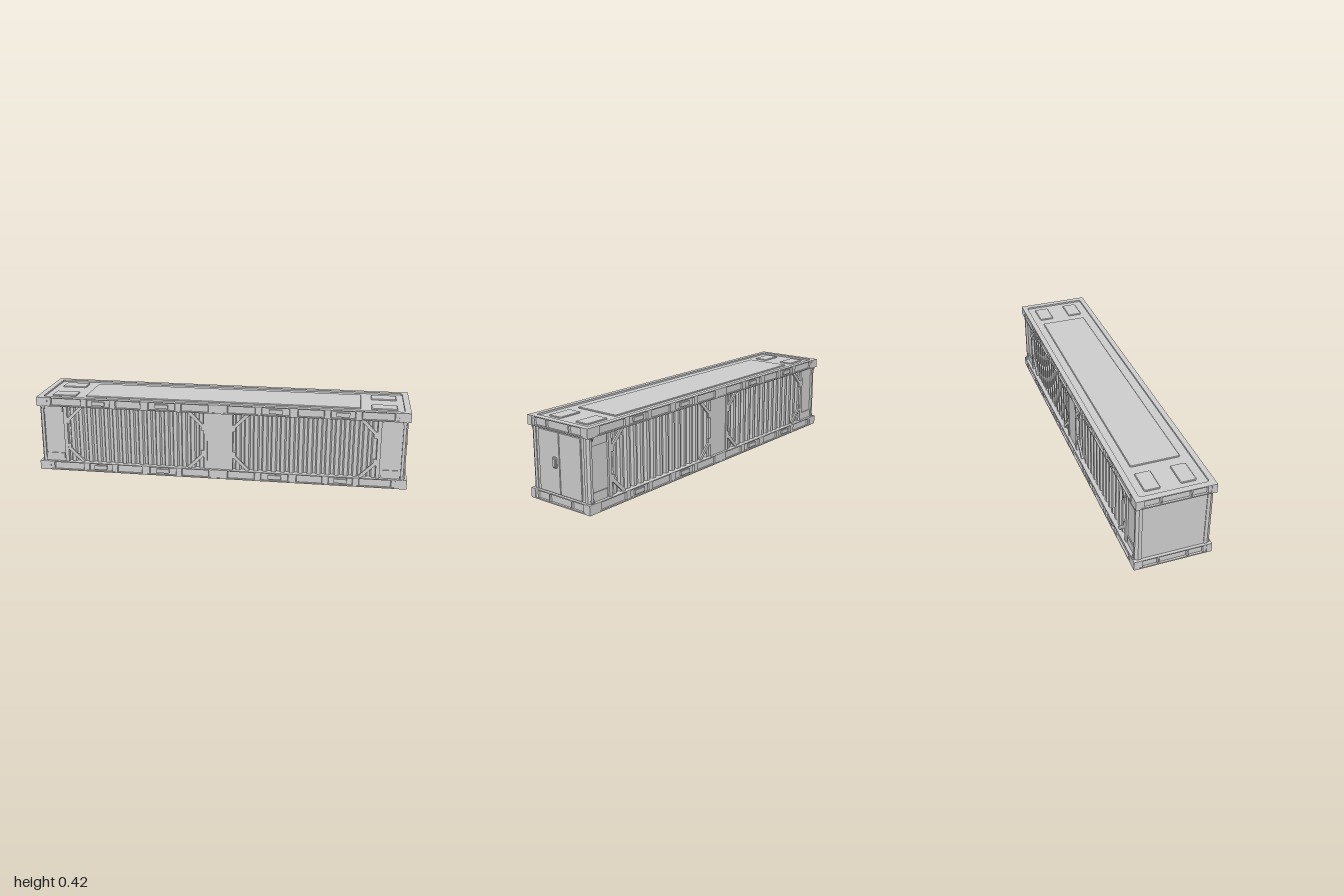
import * as THREE from 'three';

const material = new THREE.MeshStandardMaterial({ color: 0xcccccc, flatShading: true, side: THREE.DoubleSide });

function add(parent, name, geometry, x = 0, y = 0, z = 0) {
  const mesh = new THREE.Mesh(geometry, material);
  mesh.name = name;
  mesh.position.set(x, y, z);
  parent.add(mesh);
  return mesh;
}

// Box given by its limits
function block(parent, name, x0, x1, y0, y1, z0, z1) {
  return add(parent, name, new THREE.BoxGeometry(x1 - x0, y1 - y0, z1 - z0),
    (x0 + x1) / 2, (y0 + y1) / 2, (z0 + z1) / 2);
}

// Rectangle with cut corners, centred on the origin
function cutRect(hx, hy, c) {
  return [[hx - c, -hy], [hx, -hy + c], [hx, hy - c], [hx - c, hy],
    [-hx + c, hy], [-hx, hy - c], [-hx, -hy + c], [-hx + c, -hy]].map(p => new THREE.Vector2(...p));
}

// Thin plate with a bevelled face, lying in XY and facing +z
function plate(w, h, d, bevel = 0.003) {
  return new THREE.ExtrudeGeometry(new THREE.Shape(cutRect(w / 2 - bevel, h / 2 - bevel, 0.004)), {
    depth: d - bevel, bevelEnabled: true, bevelSize: bevel, bevelThickness: bevel, bevelSegments: 1,
  });
}

// Horizontal ring extruded upwards
function ring(outline, hole, height) {
  const shape = new THREE.Shape(outline);
  shape.holes.push(new THREE.Path(hole));
  return new THREE.ExtrudeGeometry(shape, { depth: height, bevelEnabled: false }).rotateX(-Math.PI / 2);
}

const longPockets = [[0.05, 0.2], [0.23, 0.38], [0.42, 0.56], [0.59, 0.72], [0.75, 0.92]];
const endPockets = [[-0.155, -0.079], [-0.072, 0.072], [0.079, 0.155]];

// Rail outline with shallow slope-ended pockets along all four edges
function railOutline() {
  const points = [];
  const mirrored = [...longPockets.map(([a, b]) => [-b, -a]).reverse(), ...longPockets];
  const edge = (pockets, half, place) => {
    points.push(place(-half, 0));
    for (const [a, b] of pockets) {
      const s = 0.004;
      points.push(place(a, 0), place(a + s, 0.008), place(b - s, 0.008), place(b, 0));
    }
  };
  const X = 0.997, Z = 0.198;
  edge(mirrored, X, (t, d) => new THREE.Vector2(t, -Z + d));
  edge(endPockets, Z, (t, d) => new THREE.Vector2(X - d, t));
  edge(mirrored, X, (t, d) => new THREE.Vector2(-t, Z - d));
  edge(endPockets, Z, (t, d) => new THREE.Vector2(-X + d, -t));
  return points;
}

// Trapezoid corrugation between two x positions
function corrugation(x0, x1, y0, y1, ribs) {
  const pitch = (x1 - x0) / ribs, front = 0.178, back = 0.164;
  const shape = new THREE.Shape();
  shape.moveTo(x0, -0.155);
  for (let i = 0; i < ribs; i++) {
    const x = x0 + i * pitch;
    shape.lineTo(x, -back);
    shape.lineTo(x + pitch * 0.3, -back);
    shape.lineTo(x + pitch * 0.45, -front);
    shape.lineTo(x + pitch * 0.85, -front);
  }
  shape.lineTo(x1, -back);
  shape.lineTo(x1, -0.155);
  return new THREE.ExtrudeGeometry(shape, { depth: y1 - y0, bevelEnabled: false })
    .rotateX(-Math.PI / 2).translate(0, y0, 0);
}

// One long wall, facing +z
function sideWall() {
  const wall = new THREE.Group();
  const y0 = 0.045, y1 = 0.372;
  block(wall, 'centrePanel', -0.06, 0.06, y0, y1, 0.15, 0.184);
  for (const s of [-1, 1]) {
    const a = s < 0 ? -0.84 : 0.075, b = s < 0 ? -0.075 : 0.84;
    add(wall, 'corrugatedPanel', corrugation(a, b, y0, y1, 16));
    const span = (name, p, q, z, lo = y0, hi = y1) =>
      block(wall, name, Math.min(s * p, s * q), Math.max(s * p, s * q), lo, hi, 0.15, z);
    span('innerStud', 0.06, 0.078, 0.188);
    span('outerStud', 0.836, 0.856, 0.188);
    span('endPanel', 0.856, 0.97, 0.178);
    span('endPanelFoot', 0.862, 0.97, 0.183, y0, 0.095);
    span('endPanelHead', 0.862, 0.97, 0.183, 0.32, y1);
    // Corner braces of the corrugated field
    for (const [x, dir] of [[0.078, 1], [0.836, -1]]) {
      for (const v of [-1, 1]) {
        const brace = add(wall, 'diagonalBrace', new THREE.BoxGeometry(0.128, 0.017, 0.01),
          s * (x + dir * 0.04), 0.21 + v * 0.115, 0.182);
        brace.rotation.z = -s * dir * v * Math.PI / 4 * -1;
        block(wall, 'braceFoot', s * x + (s * dir > 0 ? 0 : -0.016), s * x + (s * dir > 0 ? 0.016 : 0),
          0.21 + v * 0.075 - 0.018, 0.21 + v * 0.075 + 0.018, 0.17, 0.187);
      }
    }
  }
  return wall;
}

export function createModel() {
  const model = new THREE.Group();
  model.name = 'cargoContainer';

  // Closed core
  block(model, 'body', -0.982, 0.982, 0.03, 0.38, -0.156, 0.156);
  for (const s of [-1, 1]) {
    block(model, 'endWall', s * 0.976 - 0.008, s * 0.976 + 0.008, 0.03, 0.38, -0.178, 0.178);
    const wall = sideWall();
    wall.name = s > 0 ? 'frontWall' : 'backWall';
    if (s < 0) wall.rotation.y = Math.PI;
    model.add(wall);
  }

  // Top and bottom rails: pocketed core between two thin lips
  const outer = cutRect(1, 0.2, 0.002);
  const floorHole = cutRect(0.95, 0.165, 0.045);
  const roofHole = cutRect(0.968, 0.172, 0.008);
  for (const [name, y, h, hole] of [['bottomRail', 0, 0.05, floorHole], ['topRail', 0.367, 0.049, roofHole]]) {
    const rail = new THREE.Group();
    rail.name = name;
    rail.position.y = y;
    add(rail, 'railCore', ring(railOutline(), hole, h - 0.002), 0, 0.001, 0);
    add(rail, 'lowerLip', ring(outer, hole, 0.006));
    add(rail, 'upperLip', ring(outer, hole, 0.005), 0, h - 0.005, 0);
    for (const sx of [-1, 1]) for (const sz of [-1, 1]) {
      add(rail, 'cornerFitting', new THREE.BoxGeometry(0.06, h, 0.028), sx * 0.97, h / 2, sz * 0.186);
      for (const [p, q] of [[0.27, 0.34], [0.62, 0.69]]) {
        add(rail, 'railBracket', new THREE.BoxGeometry(q - p, 0.022, 0.012), sx * (p + q) / 2, h / 2, sz * 0.193);
      }
    }
    model.add(rail);
  }
  block(model, 'floor', -0.96, 0.96, 0.028, 0.046, -0.175, 0.175);

  // Corner posts with small gussets at both ends
  const gusset = new THREE.Shape([[0, 0], [0.009, 0], [0.003, 0.018], [0, 0.018]].map(p => new THREE.Vector2(...p)));
  for (const sx of [-1, 1]) for (const sz of [-1, 1]) {
    const post = new THREE.Shape([[0.965, 0.16], [0.988, 0.16], [0.988, 0.177], [0.979, 0.191], [0.965, 0.191]]
      .map(([x, z]) => new THREE.Vector2(sx * x, sz * z)));
    add(model, 'cornerPost', new THREE.ExtrudeGeometry(post, { depth: 0.33, bevelEnabled: false })
      .rotateX(-Math.PI / 2), 0, 0.043, 0);
    for (const top of [false, true]) for (const x of [0.962, 0.978]) {
      const g = add(model, 'gusset', new THREE.ExtrudeGeometry(gusset, { depth: 0.004, bevelEnabled: false }),
        sx * x, top ? 0.367 : 0.05, sz * 0.189);
      g.rotation.y = -sz * Math.PI / 2;
      if (top) g.rotation.set(Math.PI, sz * Math.PI / 2, 0);
    }
  }

  // Recessed roof with a long raised panel and four hatches
  block(model, 'roof', -0.975, 0.975, 0.37, 0.407, -0.18, 0.18);
  const onRoof = (name, w, d, x, z) => {
    add(model, name, plate(w, d, 0.006), x, 0.407, z).rotation.x = -Math.PI / 2;
  };
  onRoof('roofPanel', 1.49, 0.255, 0, -0.003);
  for (const sx of [-1, 1]) for (const z of [-0.093, 0.086]) onRoof('roofHatch', 0.134, 0.08, sx * 0.866, z);

  // Double door on the +x end
  for (const [name, z0, z1] of [['leftDoor', -0.142, 0], ['rightDoor', 0.002, 0.143]]) {
    add(model, name, plate(z1 - z0, 0.308, 0.006, 0.002), 0.984, 0.206, (z0 + z1) / 2).rotation.y = Math.PI / 2;
  }
  add(model, 'doorHandlePlate', plate(0.03, 0.056, 0.006), 0.989, 0.209, 0.032).rotation.y = Math.PI / 2;
  add(model, 'doorHandle', plate(0.02, 0.044, 0.005, 0.002), 0.995, 0.209, 0.032).rotation.y = Math.PI / 2;
  return model;
}
